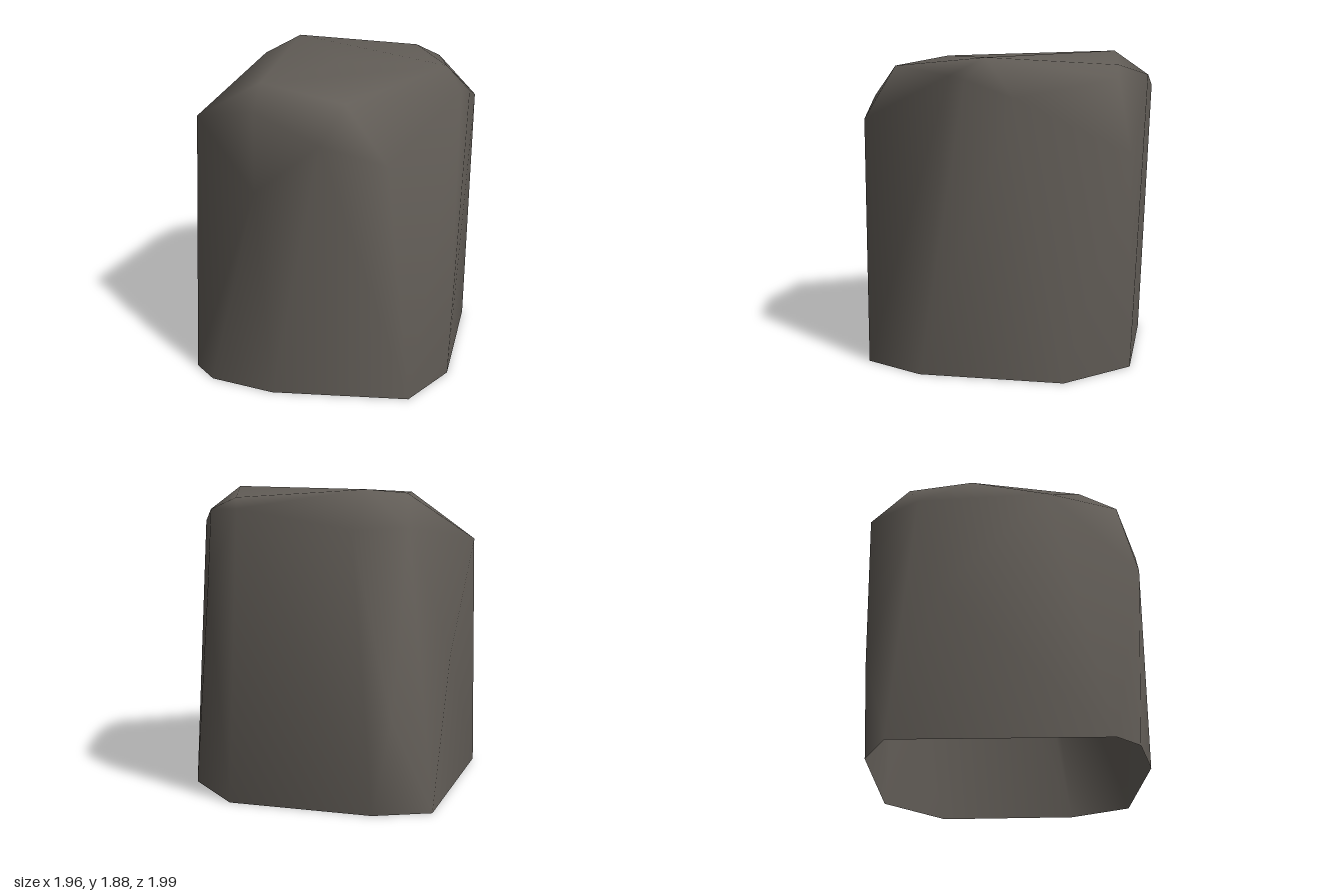
import * as THREE from 'three';
import { ConvexGeometry } from 'three/addons/geometries/ConvexGeometry.js';
import { mergeVertices } from 'three/addons/utils/BufferGeometryUtils.js';

// Boulder corners, from the ground ring up to the crown
const ground = [
  [-0.98, -0.09], [-0.98, 0.11], [-0.76, 0.46], [-0.12, 0.99], [0.28, 0.87],
  [0.91, 0.27], [0.9, -0.25], [0.27, -0.88], [-0.07, -1.0],
];
const shoulder = [
  [-0.81, 1.29, 0.39], [-0.55, 1.6, 0.68], [-0.25, 1.49, 0.92], [0.42, 1.78, 0.73],
  [0.52, 1.76, 0.69], [0.73, 1.66, 0.5], [0.98, 1.32, -0.16], [0.93, 1.76, -0.1],
  [0.88, 1.77, -0.37], [0.39, 1.66, -0.85], [0.19, 0.57, -0.97], [-0.02, 1.66, -0.79],
  [-0.3, 0.9, -0.82], [-0.76, 1.55, -0.38], [-0.74, 1.73, 0.28],
];
const crown = [
  [-0.35, 1.8, 0.64], [0.48, 1.88, 0.52], [0.81, 1.83, -0.2],
  [0.2, 1.88, -0.69], [-0.19, 1.85, -0.49], [-0.58, 1.84, 0.1],
];
// The middle of the top is raised for wrapping, then pressed into a shallow dip
const peak = [0.1, 1.9, 0];
const dipHeight = 1.85;

// Wraps the corners in a shell, leaves the underside open and smooths it
function shellGeometry() {
  const points = [...ground.map(([x, z]) => [x, 0, z]), ...shoulder, ...crown, peak]
    .map((p) => new THREE.Vector3(...p));
  const hull = new ConvexGeometry(points).getAttribute('position');
  const kept = [];
  for (let i = 0; i < hull.count; i += 3) {
    const corners = [i, i + 1, i + 2];
    if (corners.every((k) => hull.getY(k) < 0.01)) continue;
    for (const k of corners) {
      const y = hull.getY(k);
      kept.push(hull.getX(k), y > 1.89 ? dipHeight : y, hull.getZ(k));
    }
  }
  const open = new THREE.BufferGeometry();
  open.setAttribute('position', new THREE.Float32BufferAttribute(kept, 3));
  const geometry = mergeVertices(open, 1e-4);
  geometry.computeVertexNormals();
  return geometry;
}

export function createModel() {
  const stone = new THREE.MeshStandardMaterial({ color: 0x635e58, side: THREE.DoubleSide });
  stone.name = 'stone';
  const boulder = new THREE.Mesh(shellGeometry(), stone);
  boulder.name = 'boulder';
  const group = new THREE.Group();
  group.name = 'rock';
  group.add(boulder);
  return group;
}
